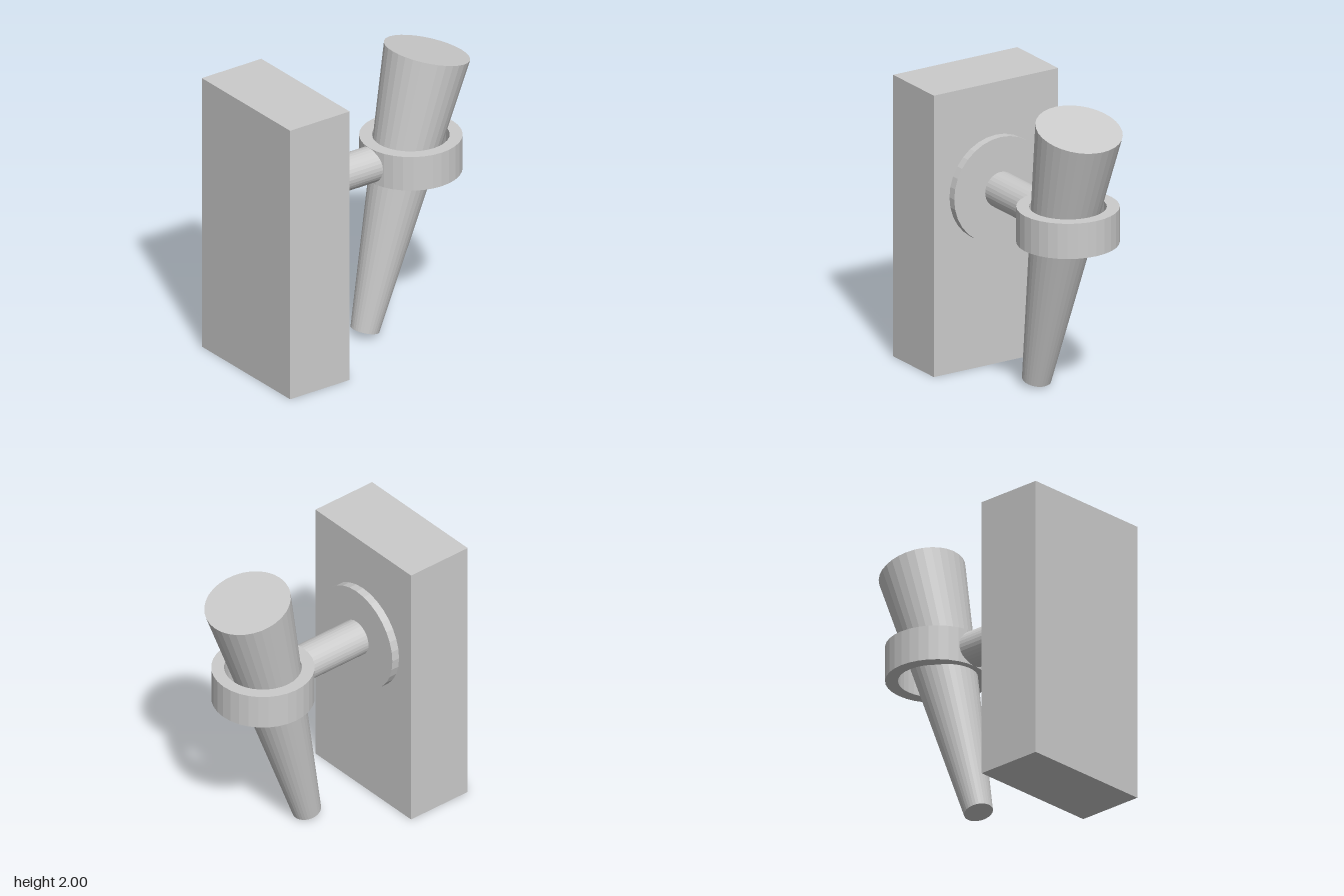
import * as THREE from 'three';

const SIDES = 32;

export function createModel() {
  const group = new THREE.Group();
  const material = new THREE.MeshStandardMaterial({ color: 0xcccccc, flatShading: true });

  const add = (name, geometry, x, y, tilt = 0) => {
    const mesh = new THREE.Mesh(geometry, material);
    mesh.name = name;
    mesh.position.set(x, y, 0);
    mesh.rotation.z = tilt;
    group.add(mesh);
  };

  const armY = 1.228;

  // Wall block the holder is fixed to
  add('wallBlock', new THREE.BoxGeometry(0.485, 1.96, 0.975), -0.6375, 0.98);

  // Round mounting plate and horizontal arm, both lying along x
  add('mountingPlate', new THREE.CylinderGeometry(0.365, 0.365, 0.058, SIDES), -0.367, armY, Math.PI / 2);
  add('arm', new THREE.CylinderGeometry(0.122, 0.122, 0.51, SIDES), -0.085, armY, Math.PI / 2);

  // Open holder ring with a rectangular section
  const outer = 0.34, inner = 0.255, half = 0.1225;
  const section = [[inner, -half], [outer, -half], [outer, half], [inner, half], [inner, -half]]
    .map(([r, y]) => new THREE.Vector2(r, y));
  add('holderRing', new THREE.LatheGeometry(section, SIDES), 0.463, armY);

  // Tapered torch leaning outward through the ring
  add('torch', new THREE.CylinderGeometry(0.29, 0.097, 1.954, SIDES), 0.342, 0.981, -THREE.MathUtils.degToRad(15));

  return group;
}
